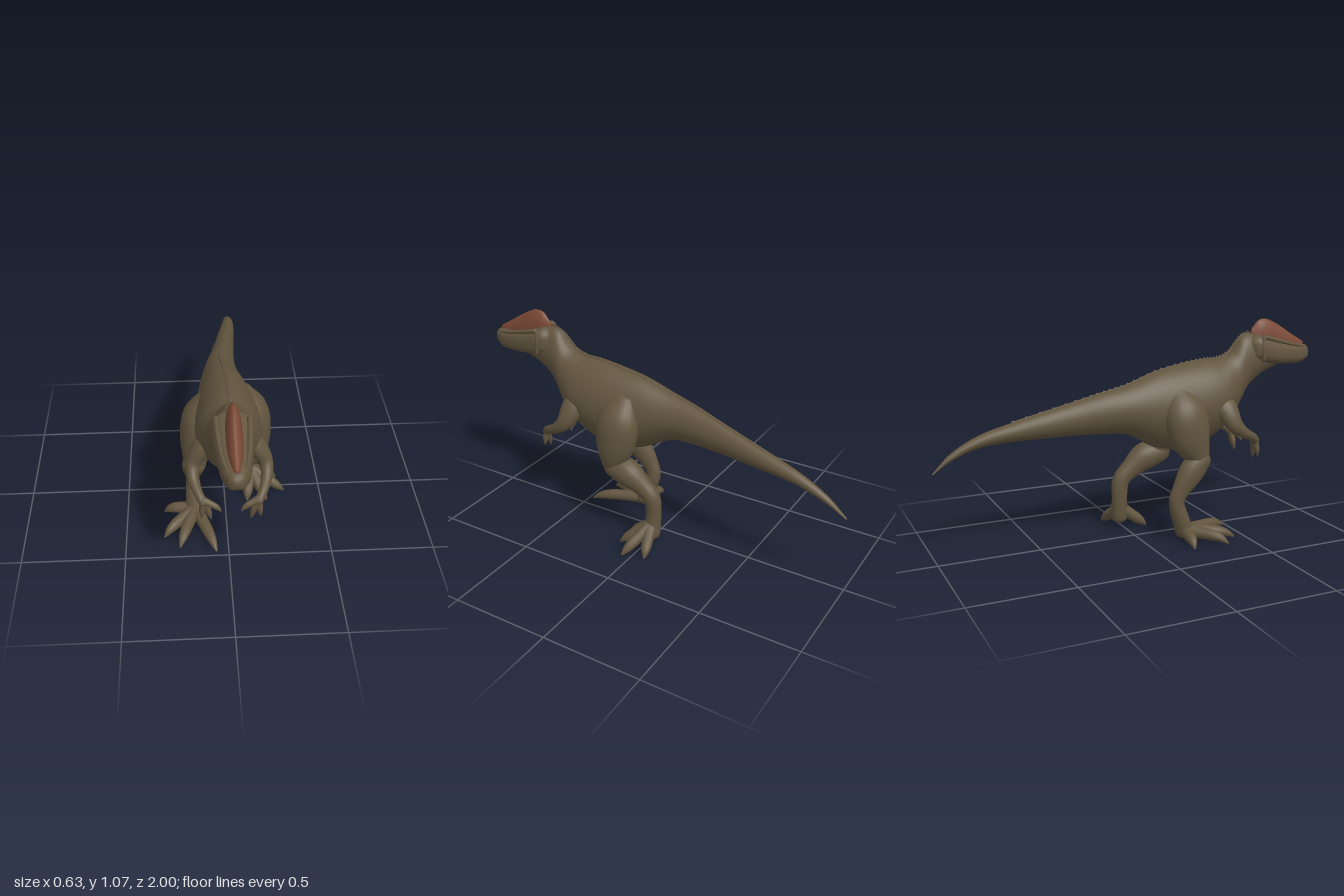
import * as THREE from 'three';

const hide = new THREE.MeshStandardMaterial({ color: 0x62553f });
hide.name = 'olive hide';
const crestRed = new THREE.MeshStandardMaterial({ color: 0x7a4936 });
crestRed.name = 'rust crest';

const X = new THREE.Vector3(1, 0, 0), Y = new THREE.Vector3(0, 1, 0), Z = new THREE.Vector3(0, 0, 1);

// Smooth skin over stations [x, y, z, radius along ref, radius across], with rounded ends.
// square < 1 makes the section boxy, > 1 makes it pointed; keel narrows its lower half, taper its upper half
function loft(stations, { ref = X, axis = null, rings = 24, sides = 20, square = 1, keel = 0, taper = 0 } = {}) {
  const path = new THREE.CatmullRomCurve3(stations.map(s => new THREE.Vector3(s[0], s[1], s[2])), false, 'catmullrom', 0.5);
  const size = new THREE.CatmullRomCurve3(stations.map(s => new THREE.Vector3(s[3], s[4], 0)), false, 'catmullrom', 0.5);
  const steps = [];
  const caps = [0.02, 0.35, 0.75, 1.15];
  for (const c of caps) steps.push([0, Math.sin(c), -Math.cos(c)]);
  for (let i = 0; i <= rings; i++) steps.push([i / rings, 1, 0]);
  for (const c of [...caps].reverse()) steps.push([1, Math.sin(c), Math.cos(c)]);
  const pos = [], index = [];
  const bend = v => Math.sign(v) * Math.pow(Math.abs(v), square);
  steps.forEach(([t, scale, push], i) => {
    const T = axis ? axis.clone() : path.getTangent(t);
    const u = ref.clone().addScaledVector(T, -T.dot(ref)).normalize();
    const v = T.clone().cross(u);
    const r = size.getPoint(t);
    const c = path.getPoint(t).addScaledVector(T, push * Math.min(r.x, r.y) * 0.8);
    for (let j = 0; j < sides; j++) {
      const a = j / sides * Math.PI * 2;
      const h = bend(Math.sin(a));
      const w = bend(Math.cos(a)) * (1 - (h < 0 ? keel : taper) * h * h);
      const p = c.clone().addScaledVector(u, w * r.x * scale).addScaledVector(v, h * r.y * scale);
      pos.push(p.x, p.y, p.z);
      if (i < steps.length - 1) {
        const k = i * sides, n = (j + 1) % sides;
        index.push(k + j, k + n, k + sides + n, k + j, k + sides + n, k + sides + j);
      }
    }
  });
  const g = new THREE.BufferGeometry();
  g.setAttribute('position', new THREE.Float32BufferAttribute(pos, 3));
  g.setIndex(index);
  g.computeVertexNormals();
  return g;
}

function add(parent, name, geometry, material = hide) {
  const m = new THREE.Mesh(geometry, material);
  m.name = name;
  parent.add(m);
  return m;
}

// Side profile rows [z, x, top, bottom, half width], from back to front, turned into stations
const profile = rows => rows.map(([z, x, top, bot, w]) => [x, (top + bot) / 2, z, w, (top - bot) / 2]);

// Digit from a base to a tip, arched in the middle and ending in a claw
function digit(base, tip, r, lift) {
  const at = (t, up) => base.map((b, i) => b + (tip[i] - b) * t + (i === 1 ? up : 0));
  return loft([[...base, r, r], [...at(0.35, lift * 0.6), r * 0.84, r * 0.84], [...at(0.65, lift), r * 0.76, r * 0.76],
    [...at(0.85, lift * 0.8), r * 0.54, r * 0.54], [...tip, r * 0.14, r * 0.14]], { ref: Y, rings: 18, sides: 12 });
}

function leg(parent, name, thigh, shank, foot, lift, toes) {
  const g = new THREE.Group();
  g.name = name;
  parent.add(g);
  add(g, 'thigh', loft(thigh));
  add(g, 'shank', loft(shank));
  for (const t of toes) add(g, 'toe', digit(foot, t, 0.036, lift));
}

export function createModel() {
  const model = new THREE.Group();
  model.name = 'theropod';

  // Tail, trunk and neck in one skin
  const bodyRows = profile([
    [-0.99, 0.055, 0.437, 0.427, 0.005], [-0.9, 0.062, 0.52, 0.482, 0.017], [-0.77, 0.06, 0.59, 0.53, 0.028],
    [-0.61, 0.045, 0.64, 0.548, 0.04], [-0.34, 0.012, 0.712, 0.556, 0.056], [-0.18, -0.008, 0.755, 0.555, 0.072],
    [-0.05, -0.015, 0.787, 0.54, 0.092], [0.11, -0.008, 0.84, 0.46, 0.125], [0.27, 0, 0.87, 0.43, 0.148],
    [0.38, 0, 0.882, 0.46, 0.15], [0.46, 0, 0.885, 0.505, 0.14], [0.53, 0, 0.915, 0.56, 0.11],
    [0.59, 0, 0.985, 0.65, 0.082], [0.64, 0, 1.0, 0.73, 0.07], [0.72, 0, 0.985, 0.79, 0.062], [0.78, 0, 0.94, 0.815, 0.05]]);
  add(model, 'body', loft(bodyRows, { axis: Z, rings: 90, sides: 36, keel: 0.28, taper: 0.1 }));

  // Low ridge along the spine, with small scutes
  const back = bodyRows.slice(3, 14).map(s => [s[0], s[1] + s[4], s[2], 0.006, 0.005]);
  add(model, 'spineRidge', loft(back, { rings: 70, sides: 8 }));
  const backLine = new THREE.CatmullRomCurve3(back.map(s => new THREE.Vector3(s[0], s[1], s[2])), false, 'catmullrom', 0.5);
  for (let i = 0; i < 44; i++) {
    const t = i / 43;
    const scute = add(model, 'scute', new THREE.ConeGeometry(0.01, 0.01 + 0.02 * t * t, 6));
    scute.position.copy(backLine.getPoint(t)).add(new THREE.Vector3(0, 0.006, 0));
    scute.scale.x = 0.5;
    scute.rotation.x = -0.5;
  }

  // Boxy head with a wedge snout
  const head = new THREE.Group();
  head.name = 'head';
  model.add(head);
  add(head, 'skull', loft(profile([
    [0.675, 0, 0.998, 0.86, 0.082], [0.7, 0, 0.993, 0.85, 0.088], [0.8, 0, 0.962, 0.838, 0.08],
    [0.9, 0, 0.943, 0.834, 0.065], [0.95, 0, 0.936, 0.838, 0.054], [0.972, 0, 0.93, 0.848, 0.042]]),
    { axis: Z, rings: 30, sides: 40, square: 0.64, taper: 0.15 }));
  add(head, 'crest', loft(profile([
    [0.665, 0, 1.03, 0.94, 0.014], [0.7, 0, 1.066, 0.91, 0.028], [0.75, 0, 1.07, 0.89, 0.034],
    [0.82, 0, 1.037, 0.88, 0.034], [0.9, 0, 0.988, 0.89, 0.028], [0.965, 0, 0.95, 0.915, 0.014]]),
    { axis: Z, rings: 30, sides: 24, square: 1.15 }), crestRed);
  for (const s of [1, -1]) {
    add(head, 'browRidge', loft([[s * 0.036, 0.922, 0.96, 0.006, 0.006], [s * 0.054, 0.938, 0.88, 0.009, 0.009],
      [s * 0.065, 0.964, 0.78, 0.011, 0.011], [s * 0.069, 0.985, 0.7, 0.012, 0.012]], { sides: 10 }));
    add(head, 'cheekRidge', loft([[s * 0.071, 0.982, 0.69, 0.01, 0.01], [s * 0.08, 0.93, 0.685, 0.01, 0.01],
      [s * 0.081, 0.872, 0.69, 0.009, 0.009]], { sides: 10 }));
  }

  // Arms, mirrored, growing out of the chest
  for (const s of [1, -1]) {
    const arm = new THREE.Group();
    arm.name = s > 0 ? 'leftArm' : 'rightArm';
    model.add(arm);
    add(arm, 'upperAndLowerArm', loft([[s * 0.065, 0.7, 0.43, 0.045, 0.065], [s * 0.123, 0.64, 0.45, 0.046, 0.06],
      [s * 0.163, 0.572, 0.475, 0.034, 0.042], [s * 0.165, 0.525, 0.53, 0.026, 0.028],
      [s * 0.142, 0.49, 0.595, 0.021, 0.023], [s * 0.122, 0.465, 0.625, 0.021, 0.022]]));
    for (const tip of [[0.045, 0.428, 0.645], [0.09, 0.37, 0.63], [0.132, 0.385, 0.635]])
      add(arm, 'finger', digit([s * 0.122, 0.475, 0.622], [s * tip[0], tip[1], tip[2]], 0.019, 0.01));
  }

  // Left leg is set back with its foot turned out and sloping down from the ankle
  leg(model, 'leftLeg',
    [[0.08, 0.73, 0.17, 0.05, 0.07], [0.12, 0.64, 0.178, 0.08, 0.108], [0.135, 0.53, 0.185, 0.08, 0.105],
      [0.135, 0.44, 0.197, 0.068, 0.075], [0.13, 0.385, 0.205, 0.052, 0.05]],
    [[0.133, 0.395, 0.195, 0.062, 0.06], [0.135, 0.375, 0.115, 0.066, 0.072], [0.13, 0.32, 0.035, 0.046, 0.052],
      [0.128, 0.262, -0.02, 0.04, 0.045], [0.126, 0.17, -0.028, 0.037, 0.04], [0.138, 0.07, -0.025, 0.043, 0.042]],
    [0.138, 0.115, -0.02], 0.004,
    [[0.278, 0.012, -0.065], [0.31, 0.012, 0.045], [0.215, 0.012, 0.115], [0.115, 0.012, 0.115]]);

  // Right leg is set forward with its foot flat
  leg(model, 'rightLeg',
    [[-0.08, 0.73, 0.2, 0.05, 0.07], [-0.125, 0.64, 0.215, 0.08, 0.108], [-0.14, 0.53, 0.235, 0.08, 0.105],
      [-0.148, 0.45, 0.265, 0.064, 0.075], [-0.155, 0.395, 0.285, 0.05, 0.05]],
    [[-0.155, 0.415, 0.285, 0.056, 0.058], [-0.163, 0.35, 0.23, 0.052, 0.066], [-0.167, 0.265, 0.172, 0.036, 0.046],
      [-0.165, 0.205, 0.152, 0.034, 0.04], [-0.16, 0.12, 0.178, 0.042, 0.042], [-0.155, 0.055, 0.2, 0.048, 0.045]],
    [-0.155, 0.053, 0.205], 0.018,
    [[-0.31, 0.012, 0.18], [-0.31, 0.012, 0.365], [-0.235, 0.012, 0.44], [-0.06, 0.012, 0.475]]);

  return model;
}
